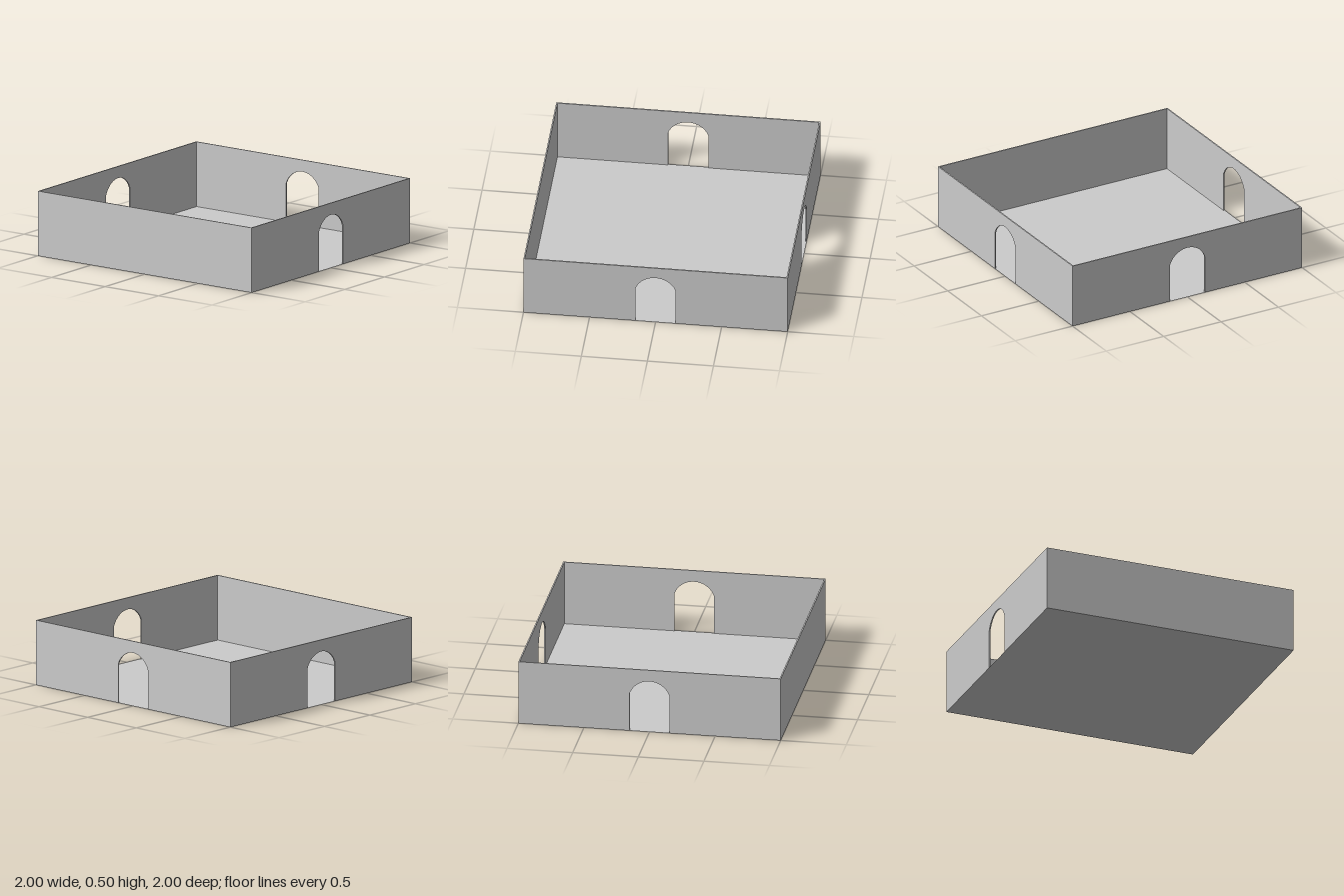
import * as THREE from 'three';

const SIZE = 2, HEIGHT = 0.5, THICK = 0.01;
const DOOR = { half: 0.152, radius: 0.16, centerY: 0.25 };

// Wall outline, optionally notched by an arched doorway open at the floor
function wallGeometry(length, hasDoor) {
  const h = length / 2;
  const shape = new THREE.Shape();
  shape.moveTo(-h, 0);
  if (hasDoor) {
    const a = Math.acos(DOOR.half / DOOR.radius);
    shape.lineTo(-DOOR.half, 0);
    shape.absarc(0, DOOR.centerY, DOOR.radius, Math.PI - a, a, true);
    shape.lineTo(DOOR.half, 0);
  }
  shape.lineTo(h, 0);
  shape.lineTo(h, HEIGHT);
  shape.lineTo(-h, HEIGHT);
  shape.closePath();
  return new THREE.ExtrudeGeometry(shape, { depth: THICK, bevelEnabled: false, curveSegments: 16 });
}

export function createModel() {
  const group = new THREE.Group();
  const material = new THREE.MeshStandardMaterial({ color: 0xcccccc });

  // Thin floor sheet, visible from above and below
  const floor = new THREE.Mesh(
    new THREE.PlaneGeometry(SIZE, SIZE).rotateX(-Math.PI / 2),
    new THREE.MeshStandardMaterial({ color: 0xcccccc, side: THREE.DoubleSide })
  );
  floor.name = 'floor';
  group.add(floor);

  // Walls turned around the centre; side walls fit between front and back
  const inner = SIZE - 2 * THICK;
  const walls = [
    ['frontWall', 0, SIZE, false],
    ['leftWall', 1, inner, true],
    ['backWall', 2, SIZE, true],
    ['rightWall', 3, inner, true],
  ];
  for (const [name, turns, length, hasDoor] of walls) {
    const geometry = wallGeometry(length, hasDoor);
    geometry.translate(0, 0, SIZE / 2 - THICK);
    const wall = new THREE.Mesh(geometry, material);
    wall.rotation.y = turns * Math.PI / 2;
    wall.name = name;
    group.add(wall);
  }
  return group;
}
